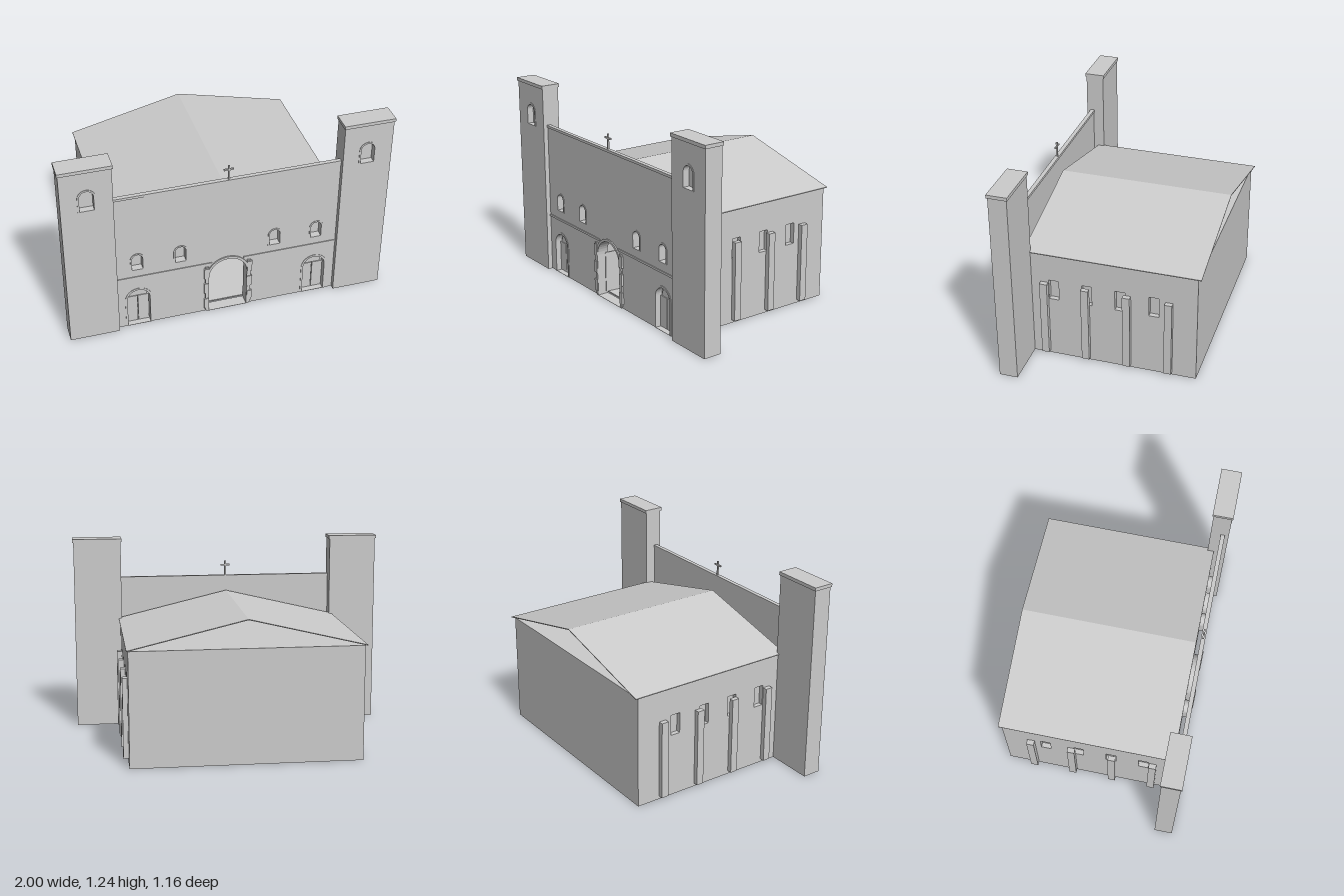
import * as THREE from 'three';

const stone = new THREE.MeshStandardMaterial({ color: 0xcccccc, side: THREE.DoubleSide });
stone.name = 'pale stone';

function add(parent, name, geometry) {
  const mesh = new THREE.Mesh(geometry, stone);
  mesh.name = name;
  parent.add(mesh);
  return mesh;
}

// Box given by its lower and upper limits on each axis
function box(parent, name, x0, x1, y0, y1, z0, z1) {
  const g = new THREE.BoxGeometry(x1 - x0, y1 - y0, z1 - z0);
  g.translate((x0 + x1) / 2, (y0 + y1) / 2, (z0 + z1) / 2);
  return add(parent, name, g);
}

function rect(x0, x1, y0, y1, Kind = THREE.Shape) {
  const p = new Kind();
  p.moveTo(x0, y0);
  p.lineTo(x1, y0);
  p.lineTo(x1, y1);
  p.lineTo(x0, y1);
  p.closePath();
  return p;
}

// Round-headed outline: half width hw, from y0 up to the top of the arch
function arch(cx, hw, y0, top, Kind = THREE.Shape) {
  const p = new Kind();
  p.moveTo(cx - hw, y0);
  p.lineTo(cx + hw, y0);
  p.lineTo(cx + hw, top - hw);
  p.absarc(cx, top - hw, hw, 0, Math.PI, false);
  p.closePath();
  return p;
}

function plate(parent, name, shape, z0, z1) {
  const g = new THREE.ExtrudeGeometry(shape, { depth: z1 - z0, bevelEnabled: false, curveSegments: 10 });
  g.translate(0, 0, z0);
  return add(parent, name, g);
}

// Arched surround and reveal in one piece
function archFrame(parent, name, o, width, z0, z1) {
  const s = arch(o.x, o.hw + width, o.y, o.top + width);
  s.holes.push(arch(o.x, o.hw, o.y + 0.002, o.top, THREE.Path));
  return plate(parent, name, s, z0, z1);
}

function cross(parent, name, y0, y1, arm, t, z) {
  const g = new THREE.Group();
  g.name = name;
  const armY = y0 + (y1 - y0) * 0.72;
  box(g, 'crossPost', -t, t, y0, y1, z - t, z + t);
  box(g, 'crossArm', -arm, arm, armY - t, armY + t, z - t, z + t);
  parent.add(g);
}

function buildTower(side) {
  const g = new THREE.Group();
  g.name = side > 0 ? 'leftTower' : 'rightTower';
  const xa = side > 0 ? 0.69 : -0.994, xb = xa + 0.304;
  const z0 = 0.46, z1 = 0.573, top = 1.214, t = 0.02;
  const win = { x: side * 0.842, hw: 0.042, y: 0.95, top: 1.085 };
  const front = rect(xa, xb, 0, top);
  front.holes.push(arch(win.x, win.hw, win.y, win.top, THREE.Path));
  plate(g, 'towerFront', front, z1 - t, z1);
  box(g, 'towerBack', xa, xb, 0, top, z0, z0 + t);
  box(g, 'towerSide', xa, xa + t, 0, top, z0 + t, z1 - t);
  box(g, 'towerSide', xb - t, xb, 0, top, z0 + t, z1 - t);
  box(g, 'towerWindowPanel', win.x - 0.06, win.x + 0.06, 0.93, 1.11, 0.528, 0.535);
  archFrame(g, 'towerWindowFrame', win, 0.011, 0.535, z1 + 0.003);
  box(g, 'towerCap', xa - 0.006, xb + 0.006, top, 1.235, z0 - 0.006, z1 + 0.007);
  return g;
}

function buildFacade() {
  const g = new THREE.Group();
  g.name = 'facade';
  const z0 = 0.528, z1 = 0.543, back = 0.5;
  const windows = [-0.56, -0.295, 0.295, 0.56].map((x) => ({ x, hw: 0.033, y: 0.43, top: 0.542 }));
  const doors = [-0.56, 0.56].map((x) => ({ x, hw: 0.07, y: 0, top: 0.272 }));
  const portal = { x: 0, hw: 0.12, y: 0, top: 0.388 };
  const wall = rect(-0.69, 0.69, 0, 0.962);
  for (const o of [...windows, ...doors, portal]) {
    wall.holes.push(arch(o.x, o.hw, o.y + 0.002, o.top, THREE.Path));
  }
  plate(g, 'facadeWall', wall, z0, z1);
  box(g, 'coping', -0.69, 0.69, 0.96, 0.976, z0 - 0.005, z1 + 0.006);
  for (const s of [-1, 1]) {
    box(g, 'stringCourse', s > 0 ? 0.1 : -0.69, s > 0 ? 0.69 : -0.1, 0.365, 0.379, z1, z1 + 0.005);
  }
  for (const o of windows) archFrame(g, 'windowFrame', o, 0.01, back, z1 + 0.003);

  // Side doors: two leaves below a stepped head
  for (const o of doors) {
    archFrame(g, 'sideDoorFrame', o, 0.013, back, z1 + 0.003);
    for (const s of [-1, 1]) {
      const c = o.x + s * 0.035;
      box(g, 'sideDoorLeaf', c - 0.033, c + 0.033, 0.005, 0.2, back, 0.512);
    }
    plate(g, 'sideDoorHead', arch(o.x, 0.058, 0.2, 0.26), back, 0.507);
  }

  // Main portal with quoined jambs
  archFrame(g, 'portalFrame', portal, 0.016, back, z1 + 0.008);
  for (const s of [-1, 1]) {
    const strip = (name, a, b, y0, y1, z) =>
      box(g, name, Math.min(s * a, s * b), Math.max(s * a, s * b), y0, y1, z1, z);
    strip('portalJamb', 0.122, 0.143, 0.01, 0.35, 0.552);
    for (const y of [0.03, 0.15, 0.265]) strip('portalQuoin', 0.122, 0.152, y, y + 0.075, 0.556);
  }
  cross(g, 'roofCross', 0.976, 1.07, 0.03, 0.005, 0.536);
  return g;
}

function buildNave() {
  const g = new THREE.Group();
  g.name = 'nave';
  const w = 0.7, h = 0.703, zb = -0.56, zf = 0.5, t = 0.03;

  // Side walls with recessed rectangular windows and pilasters
  const windowZ = [0.32, 0.115, -0.09, -0.298];
  for (const s of [-1, 1]) {
    const shape = rect(zb, zf, 0, h);
    for (const z of windowZ) shape.holes.push(rect(z - 0.031, z + 0.031, 0.398, 0.529, THREE.Path));
    const geo = new THREE.ExtrudeGeometry(shape, { depth: t, bevelEnabled: false });
    geo.rotateY(-Math.PI / 2);
    geo.translate(s > 0 ? w : -w + t, 0, 0);
    add(g, 'sideWall', geo);
    const inner = s * (w - t - 0.004);
    box(g, 'sideWindowPanel', inner - 0.004, inner + 0.004, 0.38, 0.55, -0.35, 0.37);
    for (const z of [0.378, 0.122, -0.134, -0.39]) {
      box(g, 'pilaster', s > 0 ? w : -0.73, s > 0 ? 0.73 : -w, 0.02, 0.512, z - 0.023, z + 0.023);
    }
  }
  box(g, 'backWall', -w + t, w - t, 0, h, zb, zb + t);
  const front = rect(-w + t, w - t, 0, h);
  front.holes.push(arch(0, 0.12, 0.002, 0.388, THREE.Path));
  plate(g, 'naveFrontWall', front, zf - 0.02, zf);
  box(g, 'floor', -w + t, w - t, 0.006, 0.014, zb + t, zf - 0.02);
  box(g, 'ceiling', -w + t, w - t, h - 0.01, h, zb + t, zf - 0.02);

  // Thin gabled roof, open at both ends
  const roof = new THREE.Shape();
  [[-0.71, 0.705], [0, 0.874], [0.71, 0.705], [0.71, 0.71], [0, 0.879], [-0.71, 0.71]]
    .forEach(([x, y], i) => (i ? roof.lineTo(x, y) : roof.moveTo(x, y)));
  roof.closePath();
  plate(g, 'roof', roof, -0.58, zf);

  // Altar and an open door leaf inside
  box(g, 'altar', -0.11, 0.11, 0.014, 0.11, -0.42, -0.32);
  box(g, 'altarPanel', -0.073, 0.073, 0.11, 0.28, -0.5, -0.47);
  cross(g, 'altarCross', 0.295, 0.36, 0.028, 0.004, -0.52);
  const leaf = add(g, 'openDoorLeaf', new THREE.BoxGeometry(0.008, 0.26, 0.11).translate(0, 0.145, -0.055));
  leaf.position.set(-0.118, 0, 0.495);
  leaf.rotation.y = -0.1;
  return g;
}

export function createModel() {
  const model = new THREE.Group();
  model.name = 'church';
  model.add(buildNave(), buildFacade(), buildTower(1), buildTower(-1));
  return model;
}
